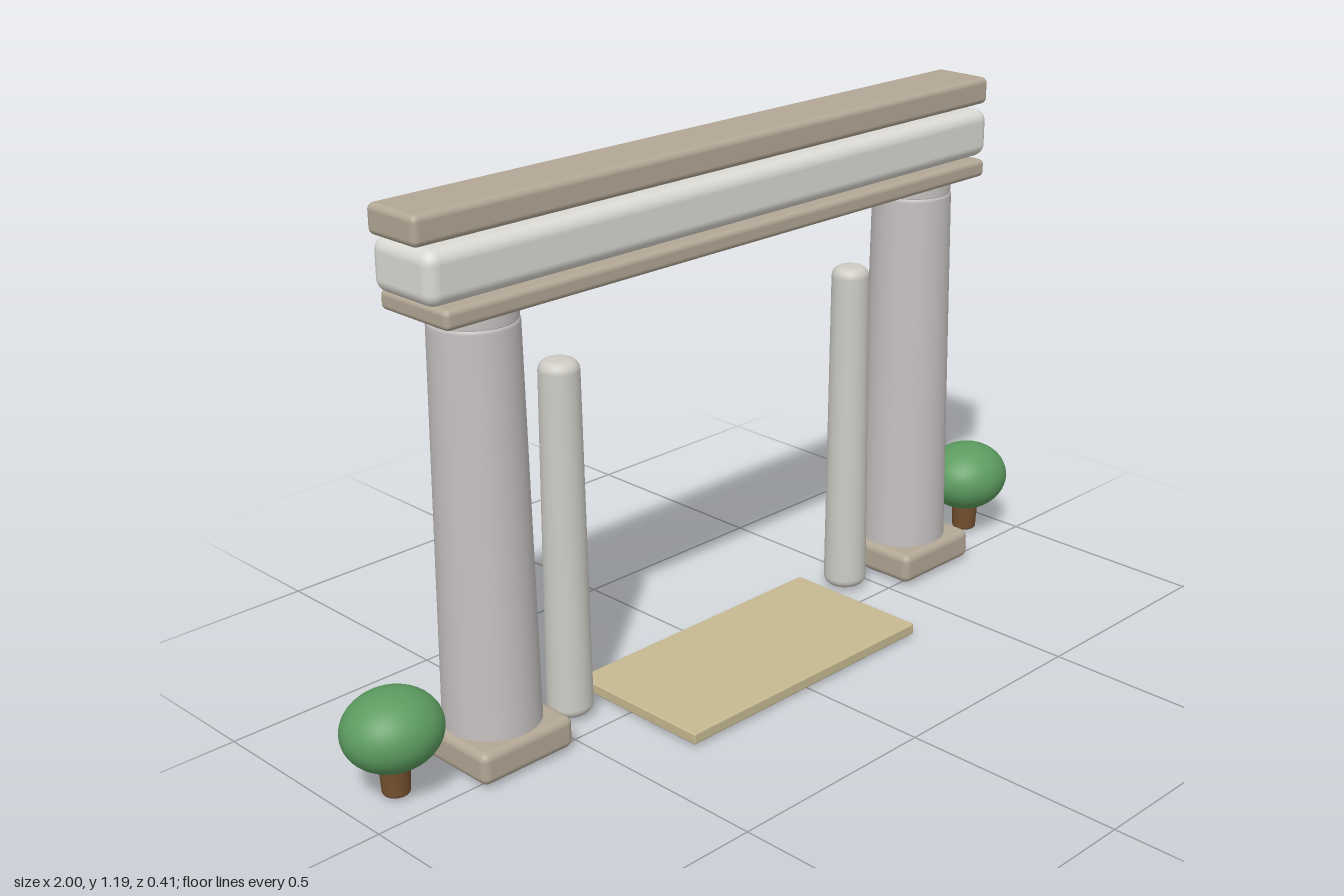
import * as THREE from 'three';
import { RoundedBoxGeometry } from 'three/addons/geometries/RoundedBoxGeometry.js';

const Z = -0.086; // depth line shared by columns, posts, beams and trees

const mat = (color) => new THREE.MeshStandardMaterial({ color });
const stone = mat(0xc6c1c1);
const paleStone = mat(0xdad9d3);
const postStone = mat(0xcdcbc4);
const tan = mat(0xb3a795);
const sand = mat(0xc6b992);
const leaf = mat(0x5c9c60);
const bark = mat(0x73502f);

function add(parent, name, geometry, material, x, y, z) {
  const mesh = new THREE.Mesh(geometry, material);
  mesh.name = name;
  mesh.position.set(x, y, z);
  parent.add(mesh);
  return mesh;
}

// Rounded block given by its bottom and top heights
function block(parent, name, material, w, y0, y1, d, r, x, z) {
  add(parent, name, new RoundedBoxGeometry(w, y1 - y0, d, 4, r), material, x, (y0 + y1) / 2, z);
}

// Tapered round shaft with softly rounded rims, closed at both ends
function shaft(r0, r1, y0, y1, e, segments = 40) {
  const pts = [new THREE.Vector2(0, y0)];
  for (let i = 0; i <= 5; i++) {
    const a = (i / 5) * Math.PI / 2;
    pts.push(new THREE.Vector2(r0 - e + e * Math.sin(a), y0 + e - e * Math.cos(a)));
  }
  for (let i = 0; i <= 5; i++) {
    const a = (i / 5) * Math.PI / 2;
    pts.push(new THREE.Vector2(r1 - e + e * Math.cos(a), y1 - e + e * Math.sin(a)));
  }
  pts.push(new THREE.Vector2(0, y1));
  return new THREE.LatheGeometry(pts, segments);
}

export function createModel() {
  const model = new THREE.Group();
  model.name = 'gateway';

  for (const [side, s] of [['left', 1], ['right', -1]]) {
    // Column on a square base, with a narrow neck under the beam
    const column = new THREE.Group();
    column.name = side + 'Column';
    block(column, 'columnBase', tan, 0.236, 0.008, 0.08, 0.238, 0.018, s * 0.645, Z - 0.001);
    add(column, 'columnShaft', shaft(0.104, 0.091, 0, 0.945, 0.012), stone, s * 0.645, 0, Z);
    add(column, 'columnNeck', shaft(0.089, 0.089, 0.935, 0.972, 0.008), stone, s * 0.645, 0, Z);
    model.add(column);

    // Slim inner post
    add(model, side + 'Post', shaft(0.05, 0.043, 0.01, 0.803, 0.023, 32), postStone, s * 0.437, 0, Z);

    // Small round tree
    const tree = new THREE.Group();
    tree.name = side + 'Tree';
    add(tree, 'trunk', shaft(0.029, 0.034, 0.01, 0.11, 0.006, 24), bark, s * 0.893, 0, Z);
    const crown = add(tree, 'foliage', new THREE.SphereGeometry(1, 40, 28), leaf, s * 0.893, 0.152, Z);
    crown.scale.set(0.107, 0.083, 0.098);
    model.add(tree);
  }

  // Three stacked beams
  block(model, 'lowerBeam', tan, 1.57, 0.965, 1.006, 0.203, 0.012, 0, Z);
  block(model, 'middleBeam', paleStone, 1.62, 1.008, 1.118, 0.18, 0.028, 0, Z);
  block(model, 'topBeam', tan, 1.65, 1.125, 1.187, 0.145, 0.014, 0, Z);

  // Thin threshold slab on the ground
  block(model, 'threshold', sand, 0.7, 0.008, 0.034, 0.355, 0.004, -0.003, 0.028);

  return model;
}
